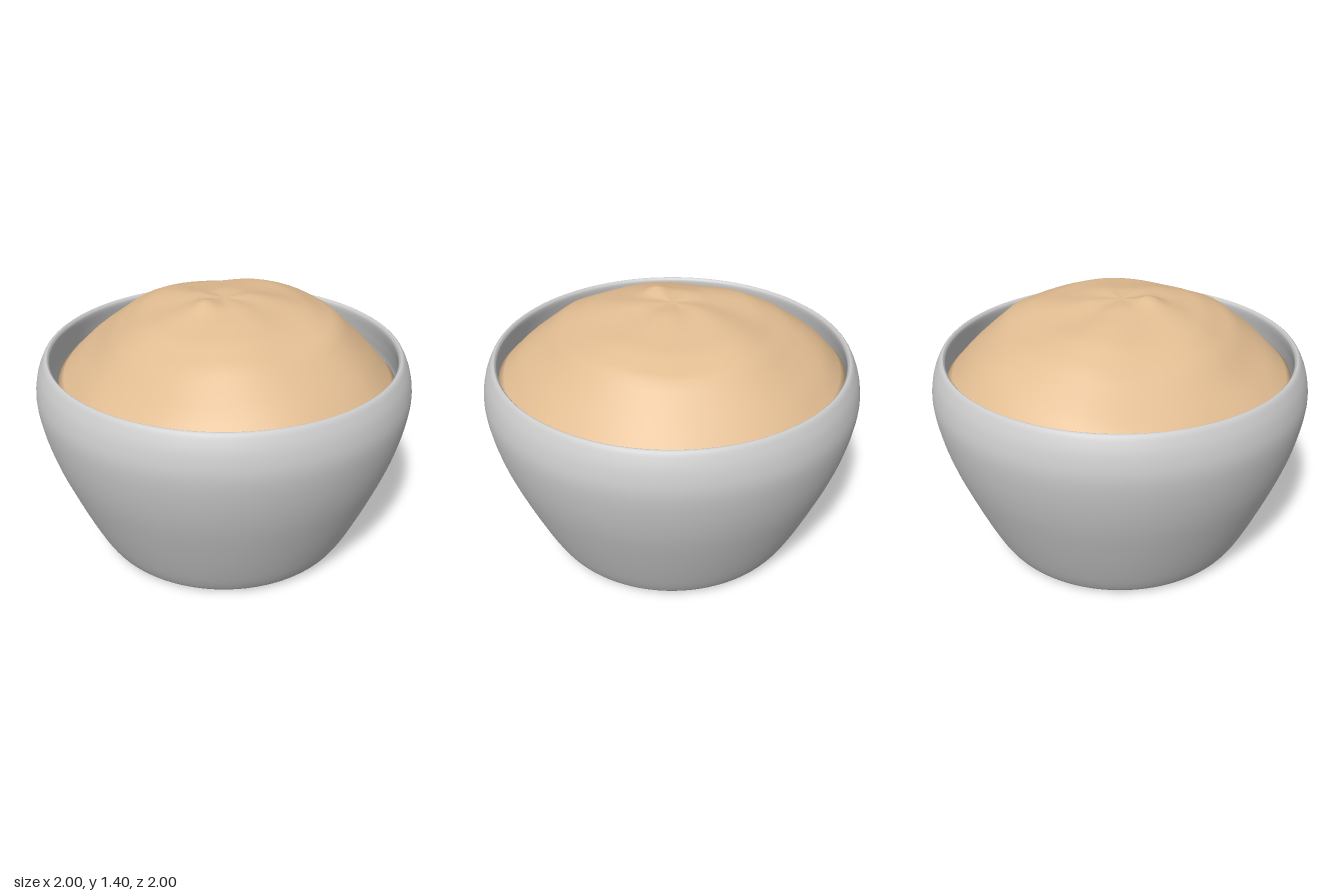
import * as THREE from 'three';
import { mergeVertices } from 'three/addons/utils/BufferGeometryUtils.js';

const v2 = (list) => list.map(([x, y]) => new THREE.Vector2(x, y));

// Thick-walled bowl turned from one profile: base, outer wall, rim, inner wall, floor
function makeBowl() {
  const outer = new THREE.SplineCurve(v2([
    [0.62, 0], [0.685, 0.015], [0.73, 0.075], [0.79, 0.2], [0.865, 0.38], [0.935, 0.57],
    [0.98, 0.74], [1, 0.89], [0.985, 1.0], [0.955, 1.075], [0.935, 1.1],
    [0.922, 1.095], [0.916, 1.07], [0.928, 0.98], [0.934, 0.88],
    [0.9, 0.68], [0.82, 0.42], [0.72, 0.18], [0.62, 0.1],
  ])).getPoints(90);
  const profile = [...v2([[0, 0], [0.6, 0]]), ...outer, ...v2([[0, 0.1]])];
  const mesh = new THREE.Mesh(
    new THREE.LatheGeometry(profile, 96),
    new THREE.MeshStandardMaterial({ color: 0xcccccc, side: THREE.DoubleSide }),
  );
  mesh.name = 'bowl';
  return mesh;
}

// Dough heights from centre to edge, towards the front, left (+x), back and right (-x)
const RADII = [0, 0.15, 0.3, 0.45, 0.6, 0.7, 0.8, 0.92];
const HEIGHTS = [
  [1.37, 1.37, 1.35, 1.315, 1.25, 1.175, 1.1, 0.98],
  [1.37, 1.37, 1.345, 1.32, 1.26, 1.16, 1.06, 0.92],
  [1.37, 1.365, 1.34, 1.31, 1.255, 1.2, 1.13, 1.0],
  [1.37, 1.38, 1.34, 1.28, 1.18, 1.09, 1.01, 0.9],
];

function along(heights, r) {
  let i = 0;
  while (i < RADII.length - 2 && r > RADII[i + 1]) i++;
  return THREE.MathUtils.lerp(heights[i], heights[i + 1], (r - RADII[i]) / (RADII[i + 1] - RADII[i]));
}

function doughHeight(r, angle) {
  const q = angle / (Math.PI / 2);
  const k = Math.floor(q + 1e-9);
  const t = THREE.MathUtils.smoothstep(q - k, 0, 1);
  const base = THREE.MathUtils.lerp(along(HEIGHTS[k % 4], r), along(HEIGHTS[(k + 1) % 4], r), t);
  const x = r * Math.sin(angle), z = r * Math.cos(angle);
  // Small peak beside the centre, radial folds and broad lumps
  const peak = 0.022 * Math.exp(-((x + 0.13) ** 2 + (z - 0.1) ** 2) / 0.004);
  const folds = 0.008 * Math.sin(5 * angle + 4 * r) * Math.sin(Math.PI * Math.min(1, r / 0.9));
  const lumps = 0.007 * Math.sin(9 * x + 1) * Math.cos(8 * z - 0.5) * Math.min(1, r * 3);
  return base + peak + folds + lumps;
}

// Lumpy dough: a turned disc whose vertices are lifted by the height rule
function makeDough() {
  const rings = 26;
  const profile = v2([[0, 0.55], [0.75, 0.6], [0.88, 0.75]]);
  for (let i = rings; i >= 0; i--) profile.push(new THREE.Vector2(0.92 * i / rings, 2));
  let geometry = new THREE.LatheGeometry(profile, 64);
  const p = geometry.attributes.position;
  for (let i = 0; i < p.count; i++) {
    const x = p.getX(i), z = p.getZ(i);
    const r = Math.hypot(x, z);
    const angle = (Math.atan2(x, z) + Math.PI * 2) % (Math.PI * 2);
    if (p.getY(i) > 1.5) p.setY(i, doughHeight(r, angle));
    // The dough pulls away from the wall on its right side
    const away = angle - 1.5 * Math.PI;
    const s = 1 - 0.045 * Math.exp(-away * away / 0.16) * (r / 0.92) ** 2;
    p.setX(i, x * s);
    p.setZ(i, z * s);
  }
  geometry.deleteAttribute('uv');
  geometry.deleteAttribute('normal');
  geometry = mergeVertices(geometry, 1e-4);
  geometry.computeVertexNormals();
  const mesh = new THREE.Mesh(
    geometry,
    new THREE.MeshStandardMaterial({ color: 0xe2bd92, side: THREE.DoubleSide }),
  );
  mesh.name = 'dough';
  return mesh;
}

export function createModel() {
  const group = new THREE.Group();
  group.name = 'bowlOfDough';
  group.add(makeBowl(), makeDough());
  return group;
}
